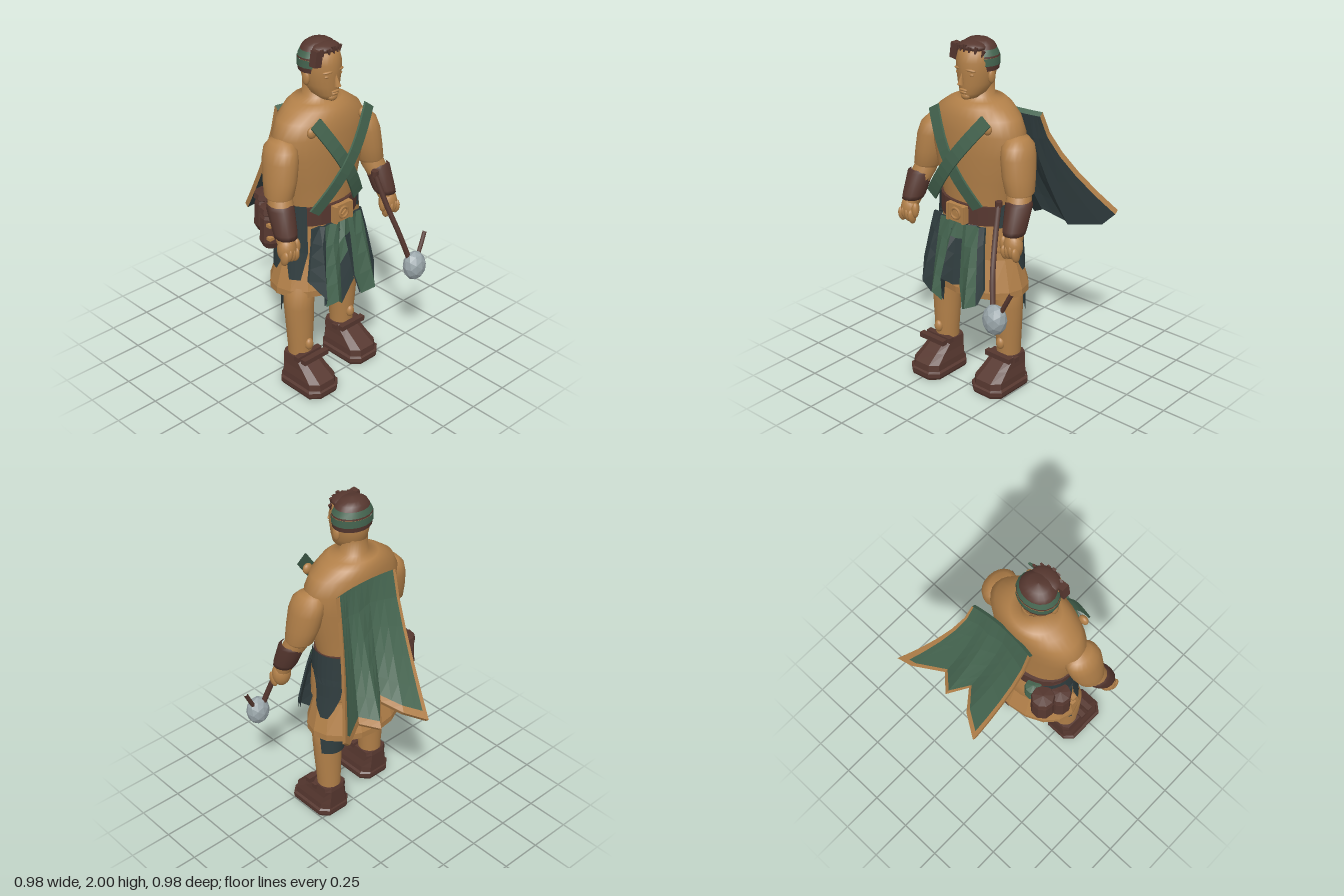
import * as THREE from 'three';

const CX = -0.06; // body centre line
const mat = (name, color, side = THREE.FrontSide) => Object.assign(new THREE.MeshStandardMaterial({ color, side }), { name });

// Indexed grid of points; P(i, j) gives a point, keep(i, j) selects cells
function grid(nu, nv, P, { flat = true, wrap = false, keep = () => true } = {}) {
  const cols = wrap ? nu : nu + 1, pos = [], idx = [];
  for (let j = 0; j <= nv; j++) for (let i = 0; i < cols; i++) pos.push(...P(i, j));
  for (let j = 0; j < nv; j++) for (let i = 0; i < nu; i++) {
    if (!keep(i, j)) continue;
    const a = j * cols + i, b = j * cols + (i + 1) % cols;
    idx.push(a, b, b + cols, a, b + cols, a + cols);
  }
  let g = new THREE.BufferGeometry();
  g.setAttribute('position', new THREE.Float32BufferAttribute(pos, 3));
  g.setIndex(idx);
  if (flat) g = g.toNonIndexed();
  g.computeVertexNormals();
  return g;
}

// Elliptical rings [y, cx, cz, rx, rz, a0, a1] from low to high; a0/a1 make an open arc
function loft(rings, seg = 20, flat = false) {
  const open = rings[0].length > 5;
  return grid(seg, rings.length - 1, (i, j) => {
    const [y, cx, cz, rx, rz, a0 = 0, a1 = 2 * Math.PI] = rings[j];
    const a = a0 + (a1 - a0) * i / seg;
    return [cx + rx * Math.sin(a), y, cz + rz * Math.cos(a)];
  }, { flat, wrap: !open });
}
// Body ring from half width and back/front depth
const ell = (y, rx, z0, z1, ...arc) => [y, CX, (z0 + z1) / 2, rx, (z1 - z0) / 2, ...arc];

export function createModel() {
  const model = new THREE.Group();
  model.name = 'figure';
  const tan = mat('tan', 0xb28049, THREE.DoubleSide);
  const brown = mat('brown', 0x56372f);
  const green = mat('green', 0x456550, THREE.DoubleSide);
  const slate = mat('slate', 0x303d3f, THREE.DoubleSide);
  const steel = mat('steel', 0x9aa6aa);

  const add = (name, geo, m, pos = [0, 0, 0], scale = [1, 1, 1], rot = [0, 0, 0]) => {
    const mesh = new THREE.Mesh(geo, m);
    mesh.name = name;
    mesh.position.set(...pos);
    mesh.scale.set(...scale);
    mesh.rotation.set(...rot);
    model.add(mesh);
  };
  const ball = new THREE.SphereGeometry(1, 16, 12);
  const box = new THREE.BoxGeometry(1, 1, 1);
  const rod = (name, pts, r, m) => add(name, new THREE.TubeGeometry(
    new THREE.CatmullRomCurve3(pts.map(p => new THREE.Vector3(...p))), 8, r, 6), m);

  // Torso and neck
  add('torso', loft([
    ell(0.98, 0.21, -0.07, 0.23), ell(1.1, 0.225, -0.07, 0.23), ell(1.25, 0.258, -0.075, 0.245),
    ell(1.4, 0.29, -0.085, 0.255), ell(1.52, 0.302, -0.09, 0.255), ell(1.6, 0.258, -0.09, 0.245),
    ell(1.65, 0.19, -0.08, 0.22), ell(1.675, 0.14, -0.06, 0.19), ell(1.69, 0.075, -0.015, 0.14),
    ell(1.78, 0.07, -0.015, 0.14)], 32), tan);

  // Head with face
  add('head', loft([
    ell(1.685, 0.001, 0.12, 0.13), ell(1.69, 0.035, 0.09, 0.19), ell(1.72, 0.068, 0.03, 0.203),
    ell(1.77, 0.09, -0.005, 0.205), ell(1.83, 0.1, -0.02, 0.21), ell(1.89, 0.102, -0.02, 0.212),
    ell(1.94, 0.09, -0.01, 0.2), ell(1.97, 0.062, 0.02, 0.175), ell(1.985, 0.001, 0.08, 0.09)], 24), tan);
  add('nose', new THREE.ConeGeometry(0.02, 0.07, 6), tan, [CX, 1.808, 0.214], [0.8, 1, 1.2], [-0.2, 0, 0]);
  add('upperLip', ball, tan, [CX, 1.742, 0.203], [0.028, 0.007, 0.01]);
  add('lowerLip', ball, tan, [CX, 1.729, 0.202], [0.022, 0.008, 0.01]);
  add('chin', ball, tan, [CX, 1.705, 0.183], [0.03, 0.022, 0.02]);
  for (const s of [-1, 1]) {
    add('brow', ball, tan, [CX + s * 0.042, 1.853, 0.193], [0.033, 0.008, 0.012], [0, s * 0.3, -s * 0.1]);
    add('eyelid', ball, tan, [CX + s * 0.042, 1.828, 0.188], [0.02, 0.009, 0.011]);
    add('ear', ball, tan, [CX + s * 0.1, 1.81, 0.09], [0.016, 0.04, 0.024]);
  }

  // Striped cap of hair and bands
  const capRing = (y, k) => ell(y, 0.117 * k, 0.075 - 0.1 * k, 0.075 + 0.1 * k);
  const stripes = [[1.84, 0.96, 1.868, 1, brown], [1.868, 1.02, 1.91, 1.02, green], [1.91, 1, 1.92, 0.98, brown],
    [1.92, 0.99, 1.955, 0.84, green]];
  for (const [y0, k0, y1, k1, m] of stripes) add('hairBand', loft([capRing(y0, k0), capRing(y1, k1)], 18), m);
  add('hairCrown', loft([capRing(1.952, 0.86), capRing(1.975, 0.74), capRing(1.992, 0.5), capRing(2, 0.01)], 18), brown);
  add('hairFront', ball, brown, [CX, 1.963, 0.125], [0.083, 0.03, 0.068]);
  for (let i = 0; i < 7; i++) {
    const t = i / 3 - 1;
    add('fringe', new THREE.ConeGeometry(0.014, 0.05 + 0.015 * (i % 2), 5), brown,
      [CX + t * 0.085, 1.95 - 0.018 * t * t, 0.192 - 0.045 * t * t], [1, 1, 0.6], [Math.PI - 0.15, 0, t * 0.3]);
  }
  add('hairKnot', box, brown, [-0.15, 1.93, 0.155], [0.045, 0.085, 0.045], [0, 0, -0.15]);

  // Arms, bracers and hands
  for (const s of [-1, 1]) {
    const X = x => CX + s * x;
    add('upperArm', loft([
      [1.215, X(0.335), 0.135, 0.062, 0.065], [1.235, X(0.333), 0.132, 0.075, 0.085], [1.32, X(0.315), 0.12, 0.085, 0.1],
      [1.42, X(0.3), 0.108, 0.087, 0.108], [1.48, X(0.29), 0.1, 0.078, 0.1], [1.515, X(0.283), 0.095, 0.052, 0.07],
      [1.53, X(0.28), 0.095, 0.001, 0.001]]), tan);
    add('forearm', loft([[1.0, X(0.378), 0.23, 0.045, 0.05], [1.12, X(0.36), 0.19, 0.06, 0.06],
      [1.19, X(0.345), 0.155, 0.068, 0.07], [1.26, X(0.33), 0.13, 0.06, 0.065]]), tan);
    add('bracer', loft([[1.035, X(0.372), 0.225, 0.03, 0.03], [1.035, X(0.372), 0.225, 0.058, 0.064],
      [1.06, X(0.368), 0.215, 0.063, 0.07], [1.185, X(0.358), 0.168, 0.073, 0.077],
      [1.2, X(0.355), 0.16, 0.06, 0.065]], 12), brown);
    add('palm', ball, tan, [X(0.38), 0.97, 0.24], [0.055, 0.075, 0.05]);
    for (let i = 0; i < 4; i++)
      add('finger', ball, tan, [X(0.343 + i * 0.025), 0.935 + 0.006 * (i % 3), 0.265], [0.017, 0.045, 0.027], [0.3, 0, 0]);
    add('thumb', ball, tan, [X(0.325), 0.975, 0.255], [0.02, 0.045, 0.022]);
    add('chestStud', ball, tan, [X(0.185), 1.572, 0.225], [0.03, 0.032, 0.02]);
  }

  // Hip drape and skirt
  add('skirt', loft([
    ell(0.58, 0.302, -0.145, 0.28), ell(0.62, 0.302, -0.148, 0.285), ell(0.8, 0.255, -0.085, 0.235),
    ell(1.02, 0.225, -0.07, 0.235)], 16, true), tan);
  add('hipDrape', loft([
    ell(0.82, 0.24, -0.1, 0.22, 1.05, 5.2), ell(0.84, 0.258, -0.118, 0.23, 1.05, 5.2),
    ell(0.93, 0.25, -0.11, 0.235, 0.8, 5.5), ell(1.02, 0.235, -0.085, 0.235, 0.8, 5.5)], 16), tan);
  add('hipFlap', loft([ell(0.83, 0.274, -0.125, 0.26, 1.2, 1.55), ell(0.87, 0.272, -0.125, 0.26, 0.8, 1.55),
    ell(0.93, 0.268, -0.125, 0.26, 0.9, 1.5), ell(1.0, 0.262, -0.125, 0.26, 0.95, 1.3)], 5, true), tan);

  // Belt and buckle
  add('belt', loft([ell(1.005, 0.2, -0.06, 0.22), ell(1.005, 0.238, -0.09, 0.25), ell(1.115, 0.238, -0.09, 0.25),
    ell(1.115, 0.2, -0.06, 0.22)], 24, true), brown);
  add('buckle', box, tan, [CX, 1.06, 0.256], [0.13, 0.1, 0.035]);
  add('buckleRing', new THREE.TorusGeometry(0.03, 0.008, 6, 16), tan, [CX, 1.06, 0.275]);
  add('bucklePin', box, tan, [CX, 1.06, 0.276], [0.035, 0.01, 0.012], [0, 0, 0.6]);
  for (const x of [-0.055, 0.055]) add('buckleBar', box, tan, [CX + x, 1.06, 0.27], [0.014, 0.1, 0.025]);

  // Dark side panels
  for (const s of [-1, 1]) {
    const arc = (y, r, a, b) => ell(y, r, -0.125, 0.26, ...(s > 0 ? [a, b] : [-b, -a]));
    add('sidePanel', loft([arc(0.72, 0.28, 1.72, 1.95), arc(0.78, 0.274, 1.55, 2.1), arc(0.86, 0.266, 1.45, 2.25),
      arc(0.94, 0.262, 1.4, 2.3), arc(0.98, 0.258, 1.0, 2.35), arc(1.05, 0.255, 1.0, 2.35),
      arc(1.13, 0.252, 1.05, 2.35)], 8, true), slate);
  }
  add('frontPanel', loft([ell(0.69, 0.29, -0.12, 0.27, -1.25, -0.95), ell(0.85, 0.27, -0.12, 0.26, -1.4, -0.8),
    ell(1.13, 0.255, -0.1, 0.25, -1.5, -0.85)], 6, true), slate);

  // Ragged loincloth: columns of [x, hem y, hem z], with a dark lining
  const hem = [[-0.31, 0.72, 0.27], [-0.25, 0.62, 0.35], [-0.22, 0.54, 0.31], [-0.17, 0.58, 0.36], [-0.12, 0.53, 0.33],
    [-0.08, 0.7, 0.38], [-0.05, 0.65, 0.32], [-0.005, 0.66, 0.31], [0.03, 0.53, 0.33], [0.09, 0.57, 0.38],
    [0.13, 0.58, 0.33], [0.16, 0.67, 0.3]];
  const n = hem.length - 1;
  const clothPoint = (i, j) => {
    const [x, y, z] = hem[i], t = 1 - j / 4, xt = -0.05 + (x + 0.05) * 0.78;
    const zt = 0.262 - 0.9 * (xt - CX) ** 2 + ((n - i) % 2) * 0.012;
    return [xt + (x - xt) * t, 1.01 + (y - 1.01) * t, zt + (z - zt) * t ** 0.8];
  };
  const dark = (i, j) => i < 2 || i === n - 1 || (i >= 5 && i <= 6 && j < 3) || (i === 4 && j < 2);
  add('loinclothGreen', grid(n, 4, clothPoint, { keep: (i, j) => !dark(i, j) }), green);
  add('loinclothDark', grid(n, 4, clothPoint, { keep: dark }), slate);
  add('loinclothLining', grid(n, 4, (i, j) => {
    const [x, y, z] = clothPoint(n - i, j);
    return [x, y, z - 0.014];
  }), slate);
  for (const i of [0, n]) add('loinclothEdge', grid(1, 4, (k, j) => {
    const [x, y, z] = clothPoint(i, j);
    return [x, y, z - 0.014 * (i ? k : 1 - k)];
  }), slate);

  // Crossed chest straps
  const strap = (x0, y0, x1, y1, lift) => {
    const l = Math.hypot(x1 - x0, y1 - y0), w = 0.037;
    const nx = -(y1 - y0) / l * w, ny = (x1 - x0) / l * w;
    add('chestStrap', grid(4, 10, (i, j) => {
      const t = j / 10, side = [1, -1, -1, 1, 1][i], depth = [0, 0, 1, 1, 0][i] * 0.012;
      return [x0 + (x1 - x0) * t + side * nx, y0 + (y1 - y0) * t + side * ny,
        0.25 + 0.06 * Math.sin(Math.PI * t) + lift - depth];
    }), green);
  };
  strap(0.075, 1.115, -0.235, 1.625, 0);
  strap(-0.255, 1.115, 0.14, 1.625, 0.008);

  // Cape: columns of [top x, hem x, hem y, hem z]
  const cols = [[-0.19, -0.11, 0.83, -0.485], [-0.1, 0.01, 0.9, -0.41], [-0.01, 0.085, 0.96, -0.31],
    [0.08, 0.175, 0.88, -0.41], [0.15, 0.26, 0.91, -0.325], [0.195, 0.42, 0.92, -0.43], [0.215, 0.485, 0.99, -0.465]];
  const us = [0, 0.17, 0.5, 1, 1.5, 2, 2.5, 3, 3.5, 4, 4.5, 5, 5.5, 6], vs = [0, 0.2, 0.4, 0.6, 0.8, 0.95, 1];
  const cape = (i, j, inner) => {
    const u = us[i], k = Math.min(5, Math.floor(u)), f = u - k, t = vs[j];
    const [xt, xb, yb, zb] = cols[k].map((v, c) => v + (cols[k + 1][c] - v) * f);
    const zt = -0.1 - 0.5 * (xt - 0.01) ** 2;
    return [xt + (xb - xt) * t ** 1.6, 1.595 + (yb - 1.595) * t - inner * 0.02, zt + (zb - zt) * t ** 1.35 + inner * 0.022];
  };
  const nu = us.length - 1, nv = vs.length - 1;
  const edge = (i, j) => i === 0 || i === nu - 1 || j === nv - 1;
  add('capeOuter', grid(nu, nv, (i, j) => cape(i, j, 0), { keep: (i, j) => !edge(i, j) }), green);
  add('capeTrim', grid(nu, nv, (i, j) => cape(i, j, 0), { keep: edge }), tan);
  add('capeLining', grid(nu, nv, (i, j) => cape(nu - i, j, 1)), slate);
  for (const i of [0, nu]) add('capeSideRim', grid(1, nv, (k, j) => cape(i, j, i ? k : 1 - k)), tan);
  for (const j of [0, nv]) add('capeEndRim', grid(nu, 1, (i, k) => cape(i, j, j ? k : 1 - k)), j ? tan : green);

  // Legs, wraps and boots; one foot is a short step ahead
  for (const s of [-1, 1]) {
    const x = CX + s * 0.2, step = s < 0 ? 0.08 : 0;
    add('leg', loft([[0.15, x, 0.06 + step, 0.066, 0.068], [0.25, x, 0.062 + step, 0.07, 0.072],
      [0.38, x, 0.067 + step * 0.9, 0.08, 0.077], [0.5, x, 0.07 + step * 0.8, 0.086, 0.083],
      [0.6, x - s * 0.005, 0.075 + step * 0.7, 0.09, 0.09], [0.75, x - s * 0.06, 0.08, 0.09, 0.09]]), tan);
    add('legWrap', loft([[0.47, x, 0.065 + step * 0.8, 0.094, 0.1, 2.0, 4.3],
      [0.6, x - s * 0.005, 0.07 + step * 0.7, 0.096, 0.105, 1.9, 4.4]], 10), slate);
    add('shinStud', ball, tan, [x, 0.27, 0.135 + step], [0.026, 0.036, 0.022]);
    const rect = [[1, -0.72], [1, 0.72], [0.55, 1], [-0.55, 1], [-1, 0.72], [-1, -0.72], [-0.6, -1], [0.6, -1]];
    const boot = rings => grid(8, rings.length - 1, (i, j) => {
      const [y, w, z0, z1] = rings[j], [a, b] = rect[7 - i];
      return [x + a * w, y, step + (z0 + z1) / 2 + b * (z1 - z0) / 2];
    }, { wrap: true });
    add('sole', boot([[0, 0.001, 0.13, 0.14], [0, 0.105, -0.015, 0.29], [0.015, 0.112, -0.02, 0.295],
      [0.04, 0.112, -0.02, 0.295], [0.05, 0.1, -0.015, 0.28]]), brown);
    add('boot', boot([[0.045, 0.1, -0.015, 0.285], [0.085, 0.096, -0.015, 0.28], [0.13, 0.084, -0.015, 0.21],
      [0.17, 0.078, -0.015, 0.15], [0.195, 0.075, -0.01, 0.13], [0.195, 0.001, 0.06, 0.07]]), brown);
    for (const [z, y] of s < 0 ? [[0.262, 0.207], [0.205, 0.2]] : [[0.148, 0.192], [0.095, 0.178]])
      add('bootStrap', box, brown, [x, y, z], [0.18, 0.03, 0.034]);
  }

  // Belt pouches
  const pouch = (name, x, z, r, y0, y1, m) => add(name, loft([[y0, x, z, 0.001, 0.001], [y0 + 0.02, x, z, r * 0.7, r * 0.7],
    [y0 + 0.06, x, z, r, r], [y1 - 0.07, x, z, r * 0.92, r * 0.92], [y1 - 0.05, x, z, r * 0.8, r * 0.8],
    [y1 - 0.04, x, z, r, r], [y1 - 0.01, x, z, r * 0.9, r * 0.9], [y1, x, z, 0.001, 0.001]], 9, true), m);
  pouch('backPouch', -0.28, -0.105, 0.068, 0.87, 1.13, brown);
  pouch('sidePouch', -0.325, -0.015, 0.064, 0.82, 1.09, brown);
  pouch('greenPouch', -0.19, -0.085, 0.05, 0.92, 1.08, green);
  for (const y of [0.92, 1.0]) add('pouchClasp', box, tan, [-0.375, y, 0.035], [0.03, 0.018, 0.03]);

  // Mace
  rod('maceHandle', [[0.215, 1.18, 0.235], [0.245, 1.0, 0.3], [0.285, 0.83, 0.365], [0.325, 0.67, 0.41]], 0.016, brown);
  add('macePommel', new THREE.CylinderGeometry(0.021, 0.021, 0.03, 6), brown, [0.215, 1.18, 0.235]);
  const maceHead = new THREE.IcosahedronGeometry(1, 1);
  maceHead.computeVertexNormals();
  add('maceHead', maceHead, steel, [0.354, 0.62, 0.428], [0.071, 0.088, 0.062]);
  rod('maceSpike', [[0.385, 0.66, 0.42], [0.42, 0.73, 0.415], [0.452, 0.795, 0.408]], 0.013, brown);

  return model;
}
